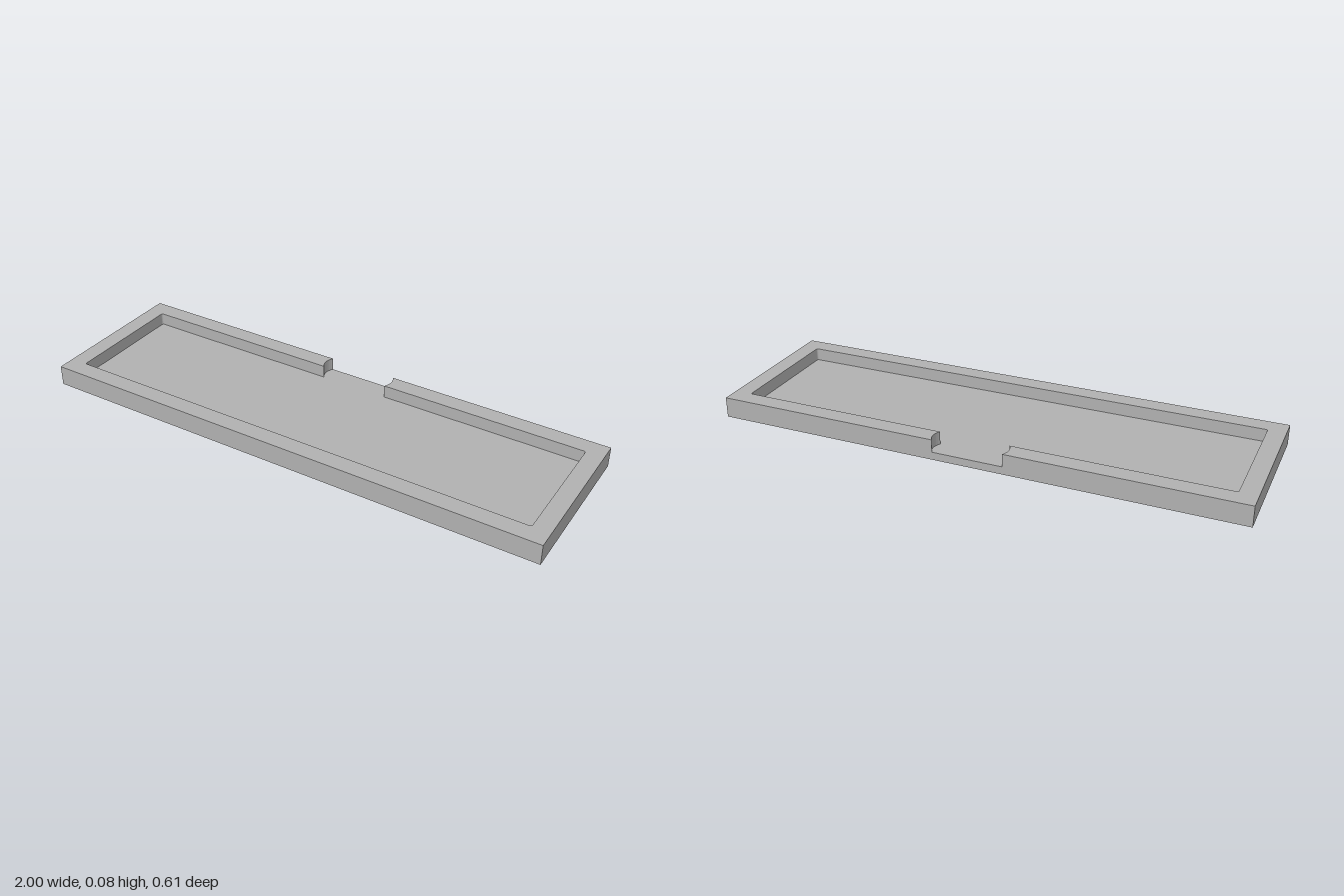
import * as THREE from 'three';

const W = 1, D = 0.305;          // outer half width and half depth
const IW = 0.933, ID = 0.237;    // inner half width and half depth
const H = 0.079, FLOOR = 0.03;   // total height and floor thickness
const GAP = 0.134, BULGE = 0.156, R = 0.008; // notch half width, curve control, corner radius

export function createModel() {
  const model = new THREE.Group();
  const grey = new THREE.MeshStandardMaterial({ color: 0xb0b0b0 });
  grey.name = 'grey';

  // flat floor of the tray, reaching out through the notch
  const floor = new THREE.Mesh(new THREE.BoxGeometry(2 * W, FLOOR, 2 * D), grey);
  floor.name = 'floor';
  floor.position.y = FLOOR / 2;
  model.add(floor);

  // rim: one C-shaped outline, open at the back, with hollowed ends
  const s = new THREE.Shape();
  const mid = (D + ID) / 2;
  s.moveTo(GAP, D);
  s.lineTo(W, D);
  s.lineTo(W, -D);
  s.lineTo(-W, -D);
  s.lineTo(-W, D);
  s.lineTo(-GAP, D);
  s.quadraticCurveTo(-BULGE, mid, -GAP, ID);
  s.lineTo(-IW + R, ID);
  s.quadraticCurveTo(-IW, ID, -IW, ID - R);
  s.lineTo(-IW, -ID + R);
  s.quadraticCurveTo(-IW, -ID, -IW + R, -ID);
  s.lineTo(IW - R, -ID);
  s.quadraticCurveTo(IW, -ID, IW, -ID + R);
  s.lineTo(IW, ID - R);
  s.quadraticCurveTo(IW, ID, IW - R, ID);
  s.lineTo(GAP, ID);
  s.quadraticCurveTo(BULGE, mid, GAP, D);

  const rimGeometry = new THREE.ExtrudeGeometry(s, { depth: H - FLOOR, bevelEnabled: false, curveSegments: 8 });
  rimGeometry.rotateX(-Math.PI / 2);
  const rim = new THREE.Mesh(rimGeometry, grey);
  rim.name = 'rim';
  rim.position.y = FLOOR;
  model.add(rim);

  return model;
}
